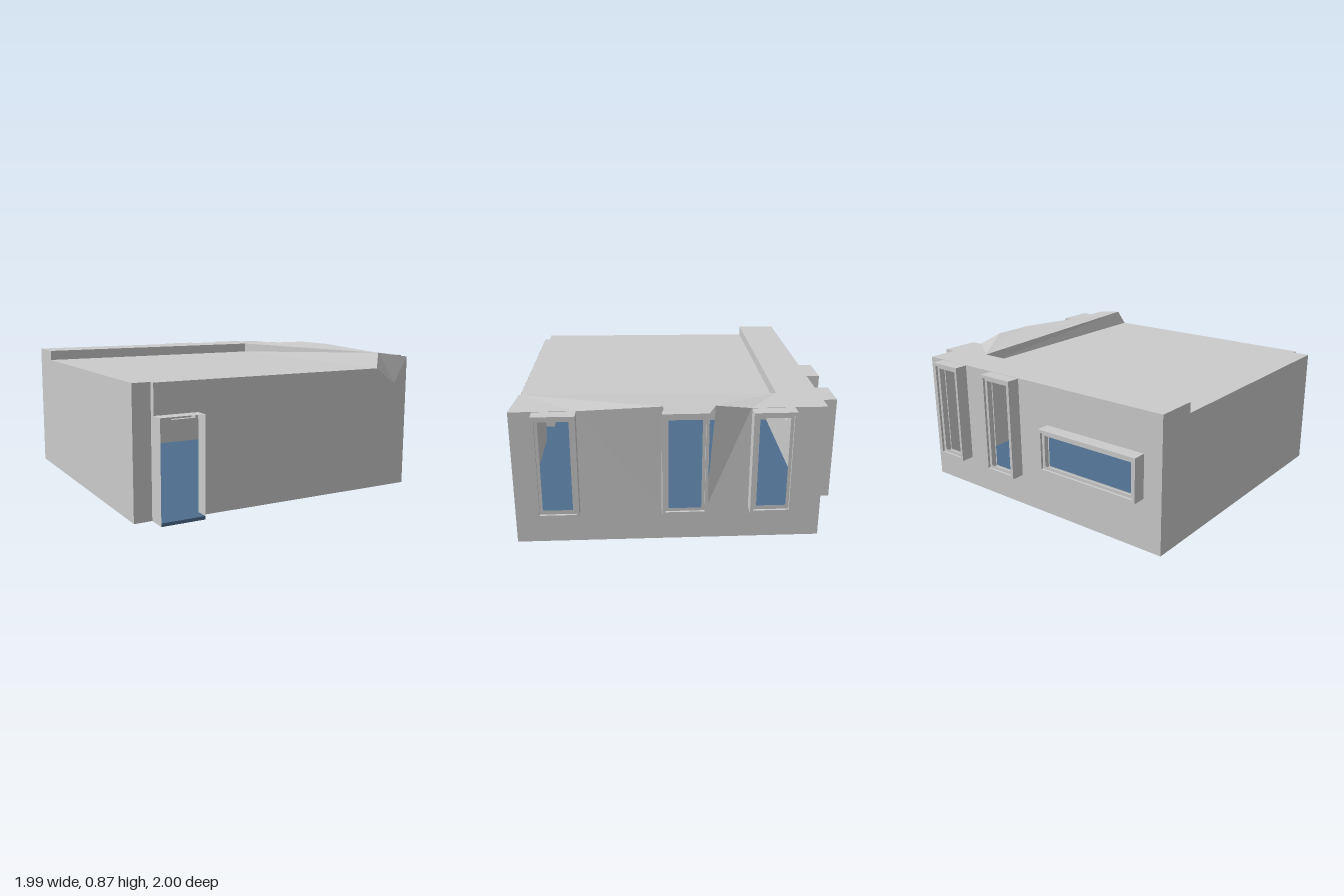
import * as THREE from 'three';

const plaster = new THREE.MeshStandardMaterial({ color: 0xcbcbcb, side: THREE.DoubleSide, flatShading: true });
plaster.name = 'pale grey plaster';
const blue = new THREE.MeshStandardMaterial({ color: 0x4e6d8e, side: THREE.DoubleSide, flatShading: true });
blue.name = 'blue floor';

function add(parent, name, geometry, material = plaster) {
  const mesh = new THREE.Mesh(geometry, material);
  mesh.name = name;
  parent.add(mesh);
  return mesh;
}

// Flat facet given by its corners in order
function facet(...corners) {
  const pos = [];
  for (let i = 1; i < corners.length - 1; i++) pos.push(...corners[0], ...corners[i], ...corners[i + 1]);
  const geo = new THREE.BufferGeometry();
  geo.setAttribute('position', new THREE.Float32BufferAttribute(pos, 3));
  geo.computeVertexNormals();
  return geo;
}

// Horizontal polygon from [x, z] points
function slab(points, y) {
  const geo = new THREE.ShapeGeometry(new THREE.Shape(points.map(([x, z]) => new THREE.Vector2(x, -z))));
  return geo.rotateX(-Math.PI / 2).translate(0, y, 0);
}

// Upright wall from plan point a to b: local x runs along it, local z points outward
function wall(parent, name, a, b, outline, openings = []) {
  const group = new THREE.Group();
  group.name = name;
  group.position.set(a[0], 0, a[1]);
  group.rotation.y = Math.atan2(a[1] - b[1], b[0] - a[0]);
  const shape = new THREE.Shape(outline.map(p => new THREE.Vector2(...p)));
  for (const [u0, u1, y0, y1] of openings) {
    const e = 0.008;
    shape.holes.push(new THREE.Path([[u0 + e, y0 + e], [u0 + e, y1 - e], [u1 - e, y1 - e], [u1 - e, y0 + e]]
      .map(p => new THREE.Vector2(...p))));
  }
  add(group, name + 'Panel', new THREE.ShapeGeometry(shape));
  parent.add(group);
  return group;
}

// Rectangular surround lofted through [inset, depth] steps
function surround(parent, name, [u0, u1, y0, y1], steps, sides = [0, 1, 2, 3]) {
  const pos = [];
  const ring = ([i, d]) => [[u0 + i, y0 + i, d], [u1 - i, y0 + i, d], [u1 - i, y1 - i, d], [u0 + i, y1 - i, d]];
  for (let s = 0; s < steps.length - 1; s++) {
    const p = ring(steps[s]), q = ring(steps[s + 1]);
    for (const k of sides) {
      const n = (k + 1) % 4;
      pos.push(...p[k], ...p[n], ...q[n], ...p[k], ...q[n], ...q[k]);
    }
  }
  const geo = new THREE.BufferGeometry();
  geo.setAttribute('position', new THREE.Float32BufferAttribute(pos, 3));
  geo.computeVertexNormals();
  return add(parent, name, geo);
}

const windowSteps = d => [[0, 0], [0, d], [0.018, d], [0.018, d - 0.015], [0.037, d - 0.015]];

export function createModel() {
  const room = new THREE.Group();
  room.name = 'room';

  // Floor with the doorway bay
  const plan = [[-0.96, -0.92], [0.91, -0.895], [0.91, 0.94], [-0.62, 0.919], [-0.62, 1],
    [-0.89, 1], [-0.89, 0.88], [-1, 0.88]];
  add(room, 'floorUnderside', slab(plan, 0), blue);
  add(room, 'floorTop', slab(plan, 0.02), blue);
  add(room, 'doorThreshold', facet([-0.89, 0, 1], [-0.62, 0, 1], [-0.62, 0.02, 1], [-0.89, 0.02, 1]), blue);

  // Front wall with a doorway notch and a cut corner
  const front = wall(room, 'frontWall', [-0.89, 0.915], [0.91, 0.94], [[0.27, 0], [1.8, 0], [1.8, 0.84],
    [1.7, 0.675], [1.55, 0.775], [0, 0.775], [0, 0.595], [0.27, 0.595]]);
  surround(front, 'doorSurround', [0, 0.27, 0, 0.595], [[0, 0], [0, 0.084]], [1, 2, 3]);
  wall(room, 'frontReturn', [-0.89, 0.88], [-0.89, 0.916], [[0, 0], [0.036, 0], [0.036, 0.775], [0, 0.775]]);
  wall(room, 'frontCorner', [-1, 0.88], [-0.89, 0.88], [[0, 0], [0.11, 0], [0.11, 0.775], [0, 0.775]]);

  // Left wall, stepping up at the back
  wall(room, 'leftWall', [-0.96, -0.92], [-1, 0.88],
    [[0, 0], [1.8, 0], [1.8, 0.775], [0.26, 0.775], [0.26, 0.84], [0, 0.84]]);

  // Back wall: two tall windows and one wide window
  const backWindows = [[0.12, 0.34, 0.2, 0.838], [0.57, 0.81, 0.2, 0.838], [1.04, 1.75, 0.32, 0.59]];
  const back = wall(room, 'backWall', [0.91, -0.895], [-0.96, -0.92],
    [[0, 0], [1.87, 0], [1.87, 0.84], [0, 0.84]], backWindows);
  backWindows.forEach((w, i) => surround(back, 'backWindow' + (i + 1), w, windowSteps(0.083)));

  // Right wall: three tall windows, the middle one inside a notch
  const rightWindows = [[0.135, 0.385, 0.2, 0.838], [1.395, 1.645, 0.2, 0.838]];
  const right = wall(room, 'rightWall', [0.91, 0.94], [0.91, -0.895], [[0, 0], [1.835, 0], [1.835, 0.84],
    [1.39, 0.84], [1.14, 0.2], [0.88, 0.2], [0.39, 0.84], [0, 0.84]], rightWindows);
  [...rightWindows, [0.873, 1.142, 0.2, 0.84]]
    .forEach((w, i) => surround(right, 'rightWindow' + (i + 1), w, windowSteps(i === 2 ? 0.075 : 0.08)));

  // Key corners of the raised ceiling edge
  const ridgeFront = [0.7, 0.87, 0.9], ridgeBack = [0.66, 0.84, -0.64], lowCorner = [0.66, 0.775, 0.936];
  const topFront = [0.91, 0.84, 0.94], topA = [0.91, 0.84, 0.55], topB = [0.91, 0.84, -0.45];
  const bulgeA = [0.94, 0.87, 0.06], bulgeB = [0.94, 0.87, -0.24];

  // Bulge around the middle window
  add(room, 'bulgeFront', facet(topA, [0.91, 0.2, 0.06], bulgeA));
  add(room, 'bulgeBack', facet(topB, bulgeB, [0.91, 0.2, -0.2]));
  add(room, 'bulgeHood', facet(bulgeA, [0.985, 0.84, 0.05], [0.985, 0.84, -0.2], bulgeB));

  // Ceiling: low main field, raised back strip and sloping right strip
  add(room, 'mainCeiling', slab([[-0.966, -0.66], [0.66, -0.64], [0.66, 0.936], [-0.89, 0.915],
    [-0.89, 0.88], [-1, 0.88]], 0.775));
  add(room, 'backCeilingStrip', slab([[-0.96, -0.92], [0.91, -0.895], [0.91, -0.45], [0.66, -0.64], [-0.966, -0.66]], 0.84));
  add(room, 'backCeilingStep', facet([-0.966, 0.775, -0.66], [0.66, 0.775, -0.64], ridgeBack, [-0.966, 0.84, -0.66]));
  add(room, 'rightCeilingStep', facet([0.66, 0.775, -0.64], lowCorner, ridgeFront, ridgeBack));
  add(room, 'rightCeilingBack', facet(ridgeBack, bulgeB, topB));
  add(room, 'rightCeilingMiddle', facet(ridgeBack, ridgeFront, bulgeA, bulgeB));
  add(room, 'rightCeilingSlope', facet(ridgeFront, topA, bulgeA));
  add(room, 'rightCeilingFront', facet(ridgeFront, topFront, topA));
  add(room, 'frontChamfer', facet(ridgeFront, lowCorner, [0.81, 0.675, 0.939], topFront));

  return room;
}
